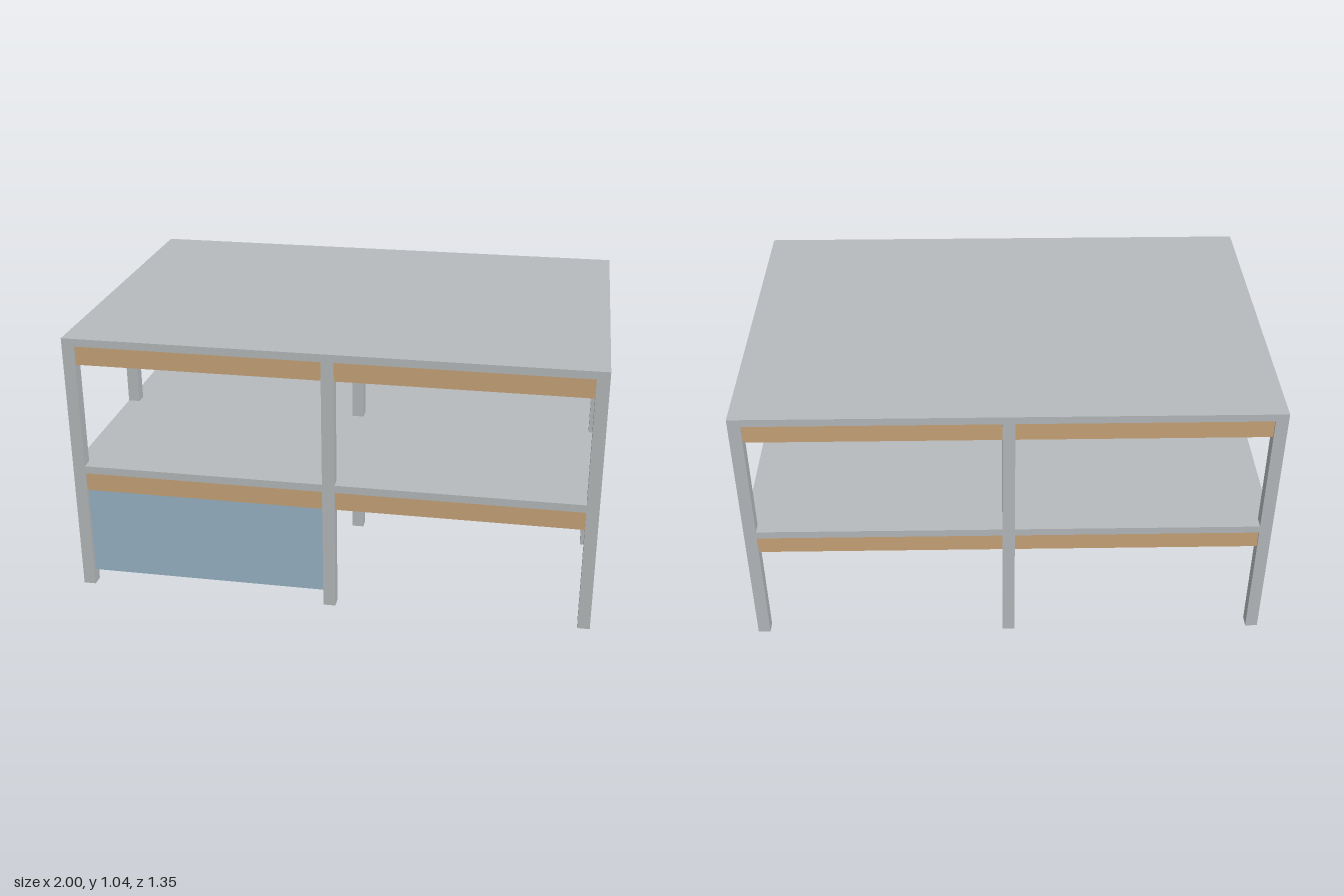
import * as THREE from 'three';

export function createModel() {
  const model = new THREE.Group();
  model.name = 'buildingFrame';

  const concrete = new THREE.MeshStandardMaterial({ color: 0xb6babc });
  concrete.name = 'concrete grey';
  const timber = new THREE.MeshStandardMaterial({ color: 0xc8a478 });
  timber.name = 'timber tan';
  const panelBlue = new THREE.MeshStandardMaterial({ color: 0x98b4c7 });
  panelBlue.name = 'panel blue';

  const W = 2, D = 1.35;           // footprint
  const col = 0.047;               // column side
  const storey = 0.521, slabT = 0.03;
  const beamH = 0.075, beamT = 0.031;
  const gridX = [-1, 0, 1].map(i => i * (W - col) / 2);
  const gridZ = [-1, 0, 1].map(i => i * (D - col) / 2);

  function box(parent, name, material, w, h, d, x, y, z) {
    const mesh = new THREE.Mesh(new THREE.BoxGeometry(w, h, d), material);
    mesh.name = name;
    mesh.position.set(x, y, z);
    parent.add(mesh);
  }

  const spanX = gridX[1] - gridX[0] - col;
  const spanZ = gridZ[1] - gridZ[0] - col;

  for (let level = 0; level < 2; level++) {
    const floor = new THREE.Group();
    floor.name = level === 0 ? 'lowerStorey' : 'upperStorey';
    floor.position.y = level * storey;
    model.add(floor);

    // Slab over the storey, flush with the outer columns
    const under = storey - slabT;
    box(floor, level === 0 ? 'floorSlab' : 'roofSlab', concrete, W, slabT, D, 0, under + slabT / 2, 0);

    // Columns on a three by three grid
    for (const x of gridX) for (const z of gridZ) {
      box(floor, 'column', concrete, col, under, col, x, under / 2, z);
    }

    // Beams between neighbouring columns, hung below the slab
    const beamY = under - beamH / 2;
    for (let i = 0; i < 2; i++) {
      const midX = (gridX[i] + gridX[i + 1]) / 2;
      const midZ = (gridZ[i] + gridZ[i + 1]) / 2;
      for (const z of gridZ) box(floor, 'longBeam', timber, spanX, beamH, beamT, midX, beamY, z);
      for (const x of gridX) box(floor, 'crossBeam', timber, beamT, beamH, spanZ, x, beamY, midZ);
    }
  }

  // Infill panel in one ground floor front bay
  const top = storey - slabT - beamH, bottom = 0.055;
  box(model, 'infillPanel', panelBlue, spanX, top - bottom, 0.009,
    (gridX[0] + gridX[1]) / 2, (top + bottom) / 2, gridZ[2]);

  return model;
}
